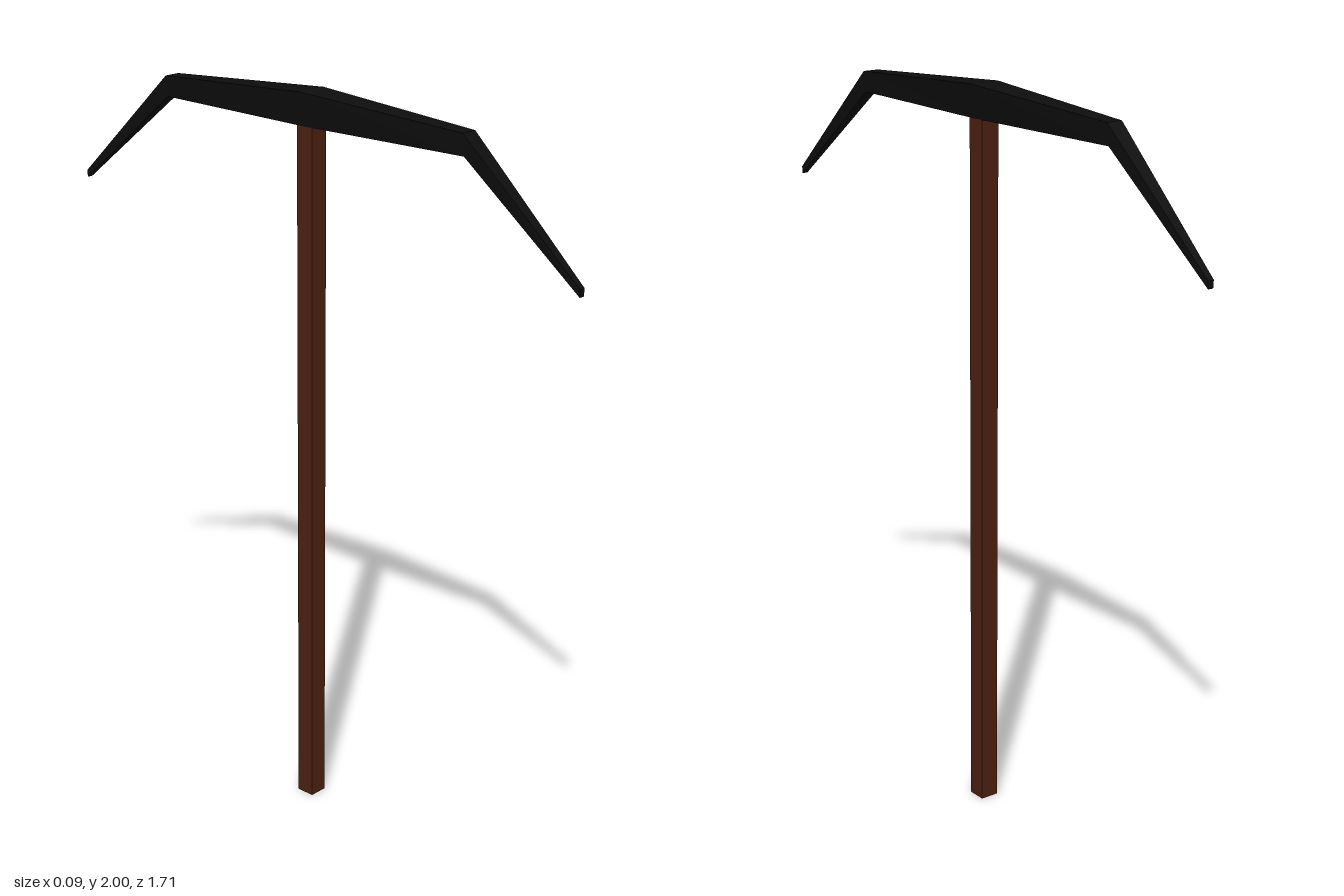
import * as THREE from 'three';

// Loft a closed solid through four-cornered sections running along z.
function loft(sections) {
  const rings = sections.map(({ z, top, bottom, wTop, wBottom }) => [
    [-wBottom / 2, bottom, z], [wBottom / 2, bottom, z],
    [wTop / 2, top, z], [-wTop / 2, top, z],
  ]);
  const pos = [];
  const quad = (a, b, c, d) => pos.push(...a, ...b, ...c, ...a, ...c, ...d);
  for (let i = 0; i < rings.length - 1; i++) {
    const r = rings[i], s = rings[i + 1];
    for (let k = 0; k < 4; k++) {
      const n = (k + 1) % 4;
      quad(r[k], r[n], s[n], s[k]);
    }
  }
  const first = rings[0], last = rings[rings.length - 1];
  quad(first[3], first[2], first[1], first[0]);
  quad(last[0], last[1], last[2], last[3]);
  const geometry = new THREE.BufferGeometry();
  geometry.setAttribute('position', new THREE.Float32BufferAttribute(pos, 3));
  geometry.computeVertexNormals();
  return geometry;
}

export function createModel() {
  const group = new THREE.Group();
  group.name = 'pickaxe';

  const wood = new THREE.MeshStandardMaterial({ color: 0x4a2010, flatShading: true });
  wood.name = 'dark brown wood';
  const iron = new THREE.MeshStandardMaterial({ color: 0x0d0d0d, flatShading: true });
  iron.name = 'black iron';

  // Square wooden shaft
  const handle = new THREE.Mesh(new THREE.BoxGeometry(0.052, 1.93, 0.052), wood);
  handle.name = 'handle';
  handle.position.y = 0.965;
  group.add(handle);

  // Head: thick middle, a knee and a drooping point, mirrored to both ends
  const half = [
    { z: 0, top: 2.0, bottom: 1.91, wTop: 0.088, wBottom: 0.054 },
    { z: 0.508, top: 1.97, bottom: 1.913, wTop: 0.046, wBottom: 0.034 },
    { z: 0.855, top: 1.655, bottom: 1.635, wTop: 0.018, wBottom: 0.016 },
  ];
  const mirrored = half.slice(1).reverse().map((s) => ({ ...s, z: -s.z }));
  const head = new THREE.Mesh(loft([...mirrored, ...half]), iron);
  head.name = 'head';
  group.add(head);

  return group;
}
